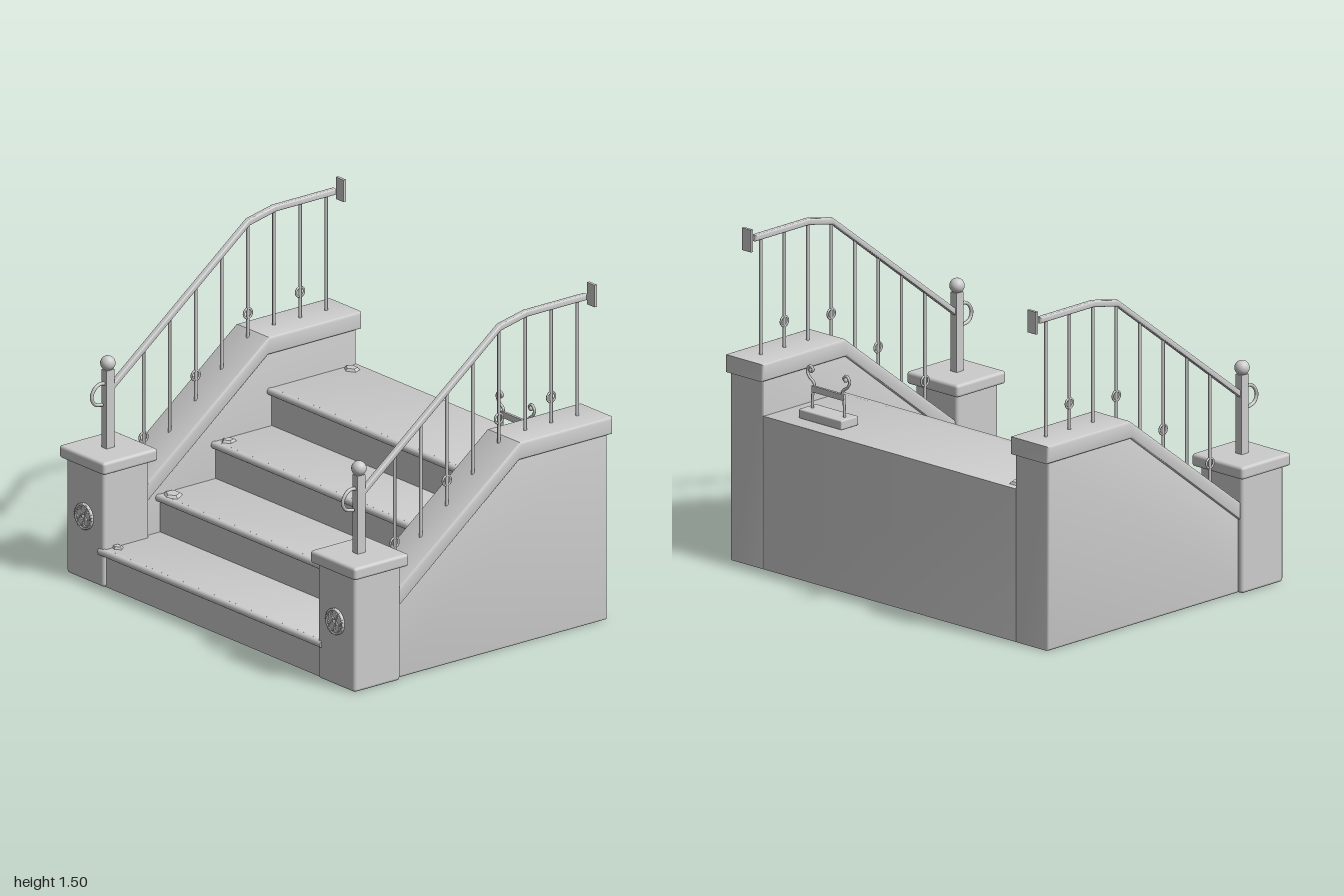
import * as THREE from 'three';
import { toCreasedNormals } from 'three/addons/utils/BufferGeometryUtils.js';
import { RoundedBoxGeometry } from 'three/addons/geometries/RoundedBoxGeometry.js';

const stone = new THREE.MeshStandardMaterial({ color: 0xcccccc });
stone.name = 'grey stone';

function add(parent, name, geometry, x = 0, y = 0, z = 0) {
  const mesh = new THREE.Mesh(geometry, stone);
  mesh.name = name;
  mesh.position.set(x, y, z);
  parent.add(mesh);
  return mesh;
}

// Side outline given as [z, y] points, extruded to a width centred on x = 0
function sideExtrude(points, width, bevel) {
  const shape = new THREE.Shape(points.map(([z, y]) => new THREE.Vector2(z, y)));
  const depth = width - 2 * bevel;
  const geometry = new THREE.ExtrudeGeometry(shape, {
    depth, bevelThickness: bevel, bevelSize: bevel, bevelOffset: -bevel, bevelSegments: 3,
  });
  geometry.translate(0, 0, -depth / 2).rotateY(-Math.PI / 2);
  return toCreasedNormals(geometry, 0.6);
}

function tube(points, radius, segments = 32) {
  const curve = new THREE.CatmullRomCurve3(points.map((p) => new THREE.Vector3(...p)));
  return new THREE.TubeGeometry(curve, segments, radius, 8);
}

// Four solid blocks standing on the ground, each with a round nosing
function stairs() {
  const group = new THREE.Group();
  group.name = 'steps';
  const r = 0.0165;
  const steps = [[0.715, 0.174], [0.398, 0.346], [0.092, 0.515], [-0.217, 0.687]];
  steps.forEach(([front, top], i) => {
    const riser = front - 0.026;
    const back = i < 3 ? steps[i + 1][0] - 0.032 : -0.711;
    const tread = top - 0.003;
    add(group, 'stepBlock', sideExtrude(
      [[riser, 0], [riser, tread], [back, tread], [back, 0]], 1.51, 0.005));
    const nosing = new THREE.CylinderGeometry(r, r, 1.5, 16).rotateZ(Math.PI / 2);
    add(group, 'nosing', nosing, 0, top - r, front - r);
  });
  return group;
}

// Flat round ornament with five loops around a hub
function medallion() {
  const group = new THREE.Group();
  group.name = 'medallion';
  add(group, 'medallionDisc', new THREE.CylinderGeometry(0.059, 0.059, 0.012, 32).rotateX(Math.PI / 2));
  add(group, 'medallionRim', new THREE.TorusGeometry(0.054, 0.005, 8, 32), 0, 0, 0.005);
  add(group, 'medallionHub', new THREE.SphereGeometry(0.009, 12, 8), 0, 0, 0.004);
  for (let i = 0; i < 5; i++) {
    const a = Math.PI / 2 + (i * Math.PI * 2) / 5;
    add(group, 'medallionLoop', new THREE.TorusGeometry(0.018, 0.004, 6, 16),
      0.031 * Math.cos(a), 0.031 * Math.sin(a), 0.006);
  }
  return group;
}

// Heights along the sloping parts
const capTop = (z) => Math.min(0.92, 0.41 + (0.45 - z) * 0.761);
function railHeight(z) {
  if (z > -0.19) return 0.845 + (0.56 - z) * 0.765;
  return z > -0.34 ? 1.419 + (-0.19 - z) * 0.2 : 1.449;
}

function flank(sign) {
  const side = new THREE.Group();
  side.name = sign > 0 ? 'leftSide' : 'rightSide';
  side.position.x = sign * 0.846;

  // Wall and sloping coping
  add(side, 'wall', sideExtrude(
    [[0.5, 0], [0.5, 0.32], [-0.215, 0.86], [-0.712, 0.86], [-0.712, 0]], 0.2, 0.012));
  add(side, 'coping', sideExtrude(
    [[0.47, 0.315], [0.47, 0.395], [-0.22, 0.92], [-0.73, 0.92], [-0.73, 0.842], [-0.215, 0.842]],
    0.226, 0.01));

  // Front pedestal
  add(side, 'pedestal', new RoundedBoxGeometry(0.25, 0.535, 0.255, 3, 0.015), 0, 0.2675, 0.578);
  add(side, 'pedestalCap', new RoundedBoxGeometry(0.304, 0.057, 0.302, 3, 0.014), 0, 0.548, 0.575);
  const ornament = medallion();
  ornament.position.set(0, 0.292, 0.709);
  side.add(ornament);

  // Newel post with ball and scroll
  add(side, 'newelPost', new THREE.BoxGeometry(0.036, 0.36, 0.042), 0, 0.75, 0.579);
  add(side, 'newelBall', new THREE.SphereGeometry(0.033, 24, 16), 0, 0.958, 0.579);
  add(side, 'railScroll', tube([
    [0, 0.852, 0.565], [0, 0.872, 0.615], [0, 0.859, 0.648], [0, 0.822, 0.668],
    [0, 0.787, 0.653], [0, 0.774, 0.61]], 0.008));

  // Handrail and its end plate
  add(side, 'handrail', sideExtrude([
    [0.56, 0.83], [0.56, 0.862], [-0.19, 1.434], [-0.335, 1.464], [-0.67, 1.464],
    [-0.67, 1.436], [-0.34, 1.436], [-0.195, 1.406]], 0.028, 0.007));
  add(side, 'endPlate', new THREE.BoxGeometry(0.052, 0.1, 0.013), 0, 1.45, -0.706);

  // Balusters, every other one carrying a ring
  const rings = { 0: 0.575, 2: 0.79, 4: 1.005, 6: 1.036 };
  for (let i = 0; i < 8; i++) {
    const z = 0.382 - i * 0.1438;
    const bottom = capTop(z) - 0.02;
    const top = railHeight(z);
    add(side, 'baluster', new THREE.CylinderGeometry(0.0075, 0.0075, top - bottom, 10),
      0, (top + bottom) / 2, z);
    if (rings[i]) {
      const ring = new THREE.TorusGeometry(0.022, 0.005, 8, 20).rotateY(Math.PI / 2);
      add(side, 'balusterRing', ring, 0, rings[i], z);
    }
  }
  return side;
}

function bootScraper() {
  const group = new THREE.Group();
  group.name = 'bootScraper';
  group.position.set(0.493, 0, -0.575);
  add(group, 'scraperBase', new RoundedBoxGeometry(0.254, 0.042, 0.105, 2, 0.006), 0, 0.705, 0);
  add(group, 'scraperBlade', new THREE.BoxGeometry(0.19, 0.028, 0.012), 0, 0.812, 0);
  for (const s of [-1, 1]) {
    const path = [[0.096, 0.72], [0.092, 0.8], [0.085, 0.838], [0.115, 0.863], [0.126, 0.888],
      [0.108, 0.911], [0.09, 0.897], [0.103, 0.884]];
    add(group, 'scraperScroll', tube(path.map(([x, y]) => [s * x, y, 0]), 0.0065, 40));
    add(group, 'scraperKnob', new THREE.SphereGeometry(0.011, 10, 8), s * 0.103, 0.892, 0);
  }
  return group;
}

// Flat broken stone chips lying on the treads: x, tread height, z, radius
function chips(parent) {
  const places = [[-0.705, 0.687, -0.65, 0.042], [-0.71, 0.515, 0.025, 0.036],
    [-0.7, 0.346, 0.34, 0.055], [0.71, 0.346, 0.27, 0.038],
    [0.69, 0.174, 0.63, 0.038], [-0.705, 0.174, 0.64, 0.03]];
  places.forEach(([x, y, z, r], i) => {
    const geometry = new THREE.CylinderGeometry(r * 0.7, r, 0.012, 5).toNonIndexed();
    geometry.computeVertexNormals();
    const chip = add(parent, 'stoneChip', geometry, x, y + 0.002, z);
    chip.rotation.y = i * 1.3;
    chip.scale.z = 0.8;
  });
}

export function createModel() {
  const model = new THREE.Group();
  model.name = 'frontSteps';
  model.add(stairs(), flank(1), flank(-1), bootScraper());
  chips(model);
  return model;
}
